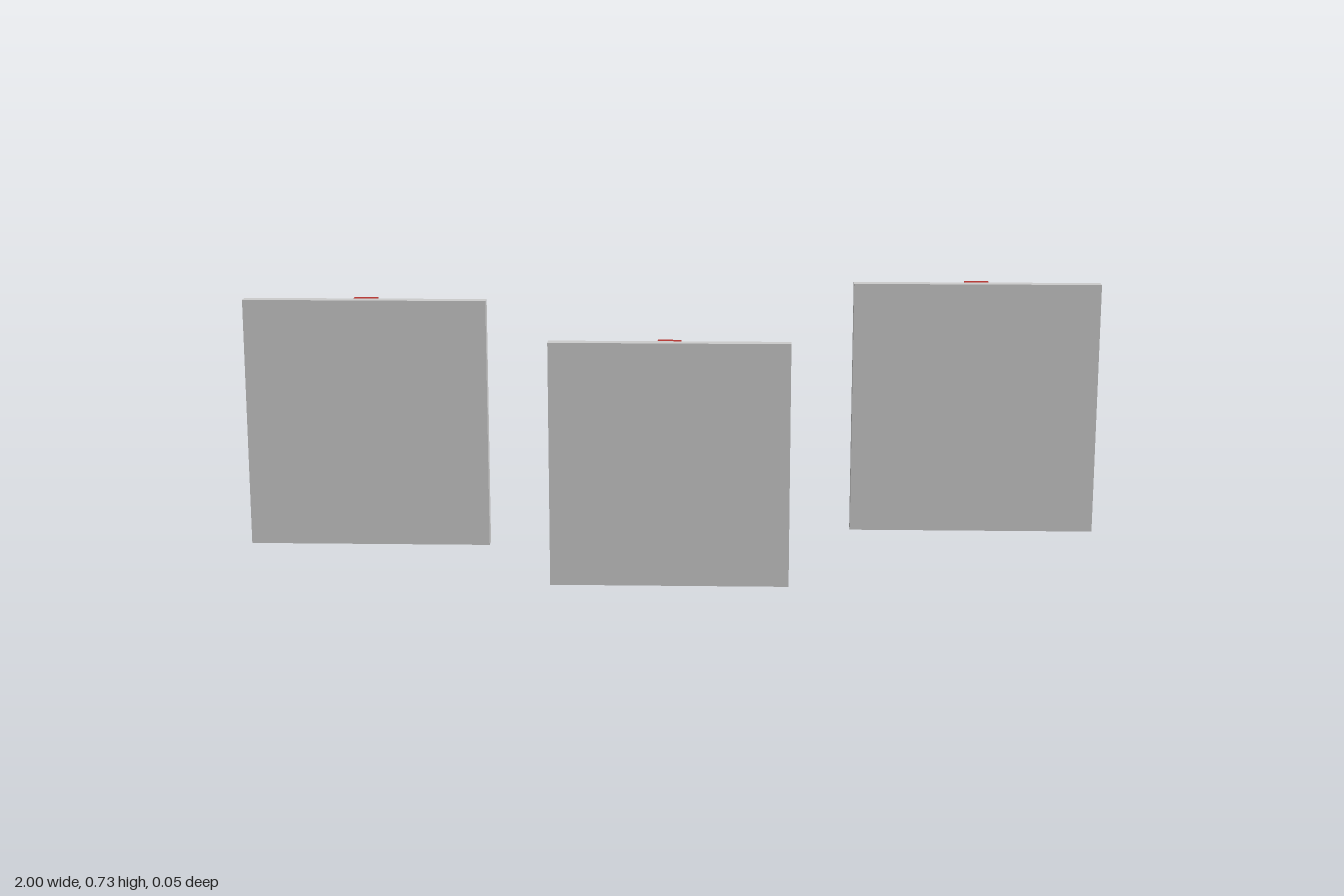
import * as THREE from 'three';

const BACK = -0.004; // rear face of every panel
const mat = (color) => new THREE.MeshStandardMaterial({ color });
const colors = {
  grey: mat(0xcccccc), red: mat(0xb43430), tan: mat(0xc08543), brown: mat(0x76512f),
  blue: mat(0x3e82dd), yellow: mat(0xccaa3b), green: mat(0x4caf50),
};

// Box given by its x centre, width, y range and z range
function slab(group, name, material, x, w, y0, y1, zBack, zFront = BACK) {
  const geo = new THREE.BoxGeometry(w, y1 - y0, zFront - zBack);
  const mesh = new THREE.Mesh(geo, material);
  mesh.position.set(x, (y0 + y1) / 2, (zBack + zFront) / 2);
  mesh.name = name;
  group.add(mesh);
}

// Square tile with a small hanging peg at the top of its back
function panel(name, x, bottom) {
  const g = new THREE.Group();
  g.name = name;
  const top = bottom + 0.59;
  slab(g, 'board', colors.grey, x, 0.571, bottom, top, BACK, 0.025);
  slab(g, 'peg', colors.red, x, 0.056, top - 0.055, top, -0.023);
  return g;
}

export function createModel() {
  const model = new THREE.Group();
  model.name = 'wallPanels';

  // Panel with a square and a ground strip
  const right = panel('rightPanel', -0.7145, 0.098);
  slab(right, 'square', colors.yellow, -0.7145, 0.23, 0.40, 0.63, -0.013);
  slab(right, 'groundStrip', colors.green, -0.7145, 0.474, 0.19, 0.227, -0.013);

  // Panel with a house
  const middle = panel('middlePanel', 0, 0);
  slab(middle, 'houseWall', colors.red, 0, 0.286, 0.115, 0.298, -0.013);
  slab(middle, 'roof', colors.brown, 0, 0.38, 0.298, 0.374, -0.013);
  slab(middle, 'door', colors.blue, 0, 0.078, 0.115, 0.21, -0.018);

  // Panel with a notched plate
  const left = panel('leftPanel', 0.7145, 0.143);
  const outline = [
    [-0.134, 0.285], [0.134, 0.285], [0.134, 0.6], [0.054, 0.6],
    [0.054, 0.525], [-0.054, 0.525], [-0.054, 0.6], [-0.134, 0.6],
  ].map(([x, y]) => new THREE.Vector2(x, y));
  const plate = new THREE.Mesh(
    new THREE.ExtrudeGeometry(new THREE.Shape(outline), { depth: 0.009, bevelEnabled: false }),
    colors.tan);
  plate.position.set(0.7145, 0, -0.013);
  plate.name = 'notchedPlate';
  left.add(plate);

  model.add(right, middle, left);
  return model;
}
